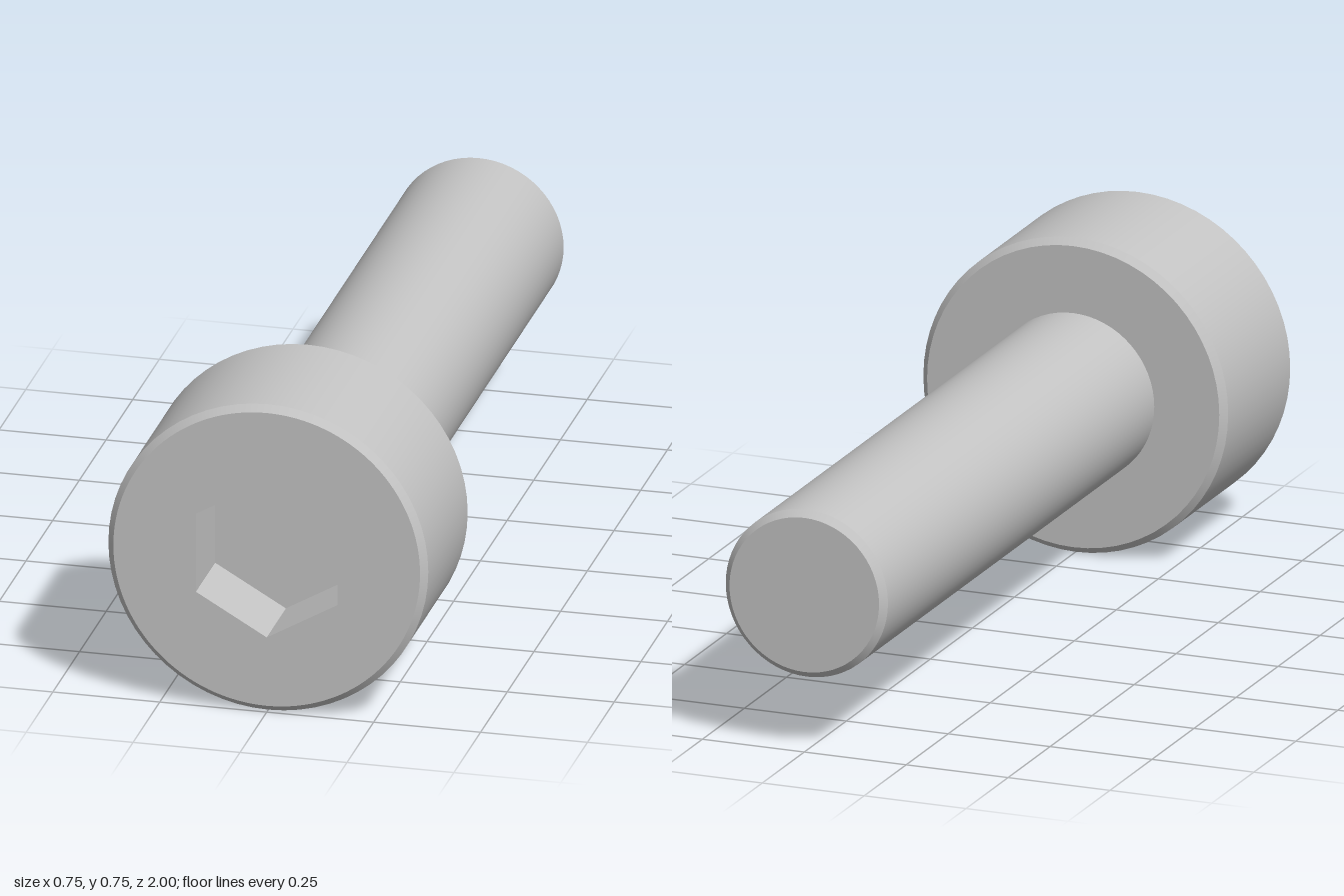
import * as THREE from 'three';
import { mergeGeometries } from 'three/addons/utils/BufferGeometryUtils.js';

const SEGMENTS = 64;
const HEAD_R = 0.374, SHAFT_R = 0.199, CHAMFER = 0.0155;
const HEX_R = 0.191, HEX_DEPTH = 0.18;

// Revolve a profile of [radius, z] points around z, keeping every profile corner sharp
function turned(profile) {
  const bands = [];
  for (let i = 0; i < profile.length - 1; i++) {
    const pair = [profile[i], profile[i + 1]].map(([r, z]) => new THREE.Vector2(r, z));
    bands.push(new THREE.LatheGeometry(pair, SEGMENTS).rotateX(Math.PI / 2));
  }
  return mergeGeometries(bands);
}

export function createModel() {
  const steel = new THREE.MeshStandardMaterial({ color: 0xc4c4c4 });
  steel.name = 'steel grey';

  const screw = new THREE.Group();
  screw.name = 'socketHeadScrew';
  const add = (name, geometry) => {
    const mesh = new THREE.Mesh(geometry, steel);
    mesh.name = name;
    mesh.position.y = HEAD_R;
    screw.add(mesh);
  };

  // Plain shaft with a chamfered tip
  add('shaft', turned([
    [0, -1], [SHAFT_R - CHAMFER, -1], [SHAFT_R, -1 + CHAMFER], [SHAFT_R, 0.6],
  ]));

  // Cylindrical head, chamfered at both rims, open at the front
  add('head', turned([
    [SHAFT_R, 0.6], [HEAD_R - CHAMFER, 0.6], [HEAD_R, 0.6 + CHAMFER],
    [HEAD_R, 1 - CHAMFER], [HEAD_R - CHAMFER, 1],
  ]));

  // Front face with a hexagonal opening
  const face = new THREE.Shape().absarc(0, 0, HEAD_R - CHAMFER, 0, Math.PI * 2);
  const hexagon = [];
  for (let i = 0; i < 6; i++) {
    const a = Math.PI / 2 + i * Math.PI / 3;
    hexagon.push(new THREE.Vector2(Math.cos(a) * HEX_R, Math.sin(a) * HEX_R));
  }
  face.holes.push(new THREE.Path(hexagon).closePath());
  add('headFace', new THREE.ShapeGeometry(face, SEGMENTS).translate(0, 0, 1));

  // Inward-facing flat walls and floor of the hex socket
  const wallProfile = [new THREE.Vector2(HEX_R, 1), new THREE.Vector2(HEX_R, 1 - HEX_DEPTH)];
  const walls = new THREE.LatheGeometry(wallProfile, 6).rotateX(Math.PI / 2).toNonIndexed();
  walls.computeVertexNormals();
  add('socketWalls', walls);
  add('socketFloor', new THREE.CircleGeometry(HEX_R, 6, Math.PI / 2).translate(0, 0, 1 - HEX_DEPTH));

  return screw;
}
